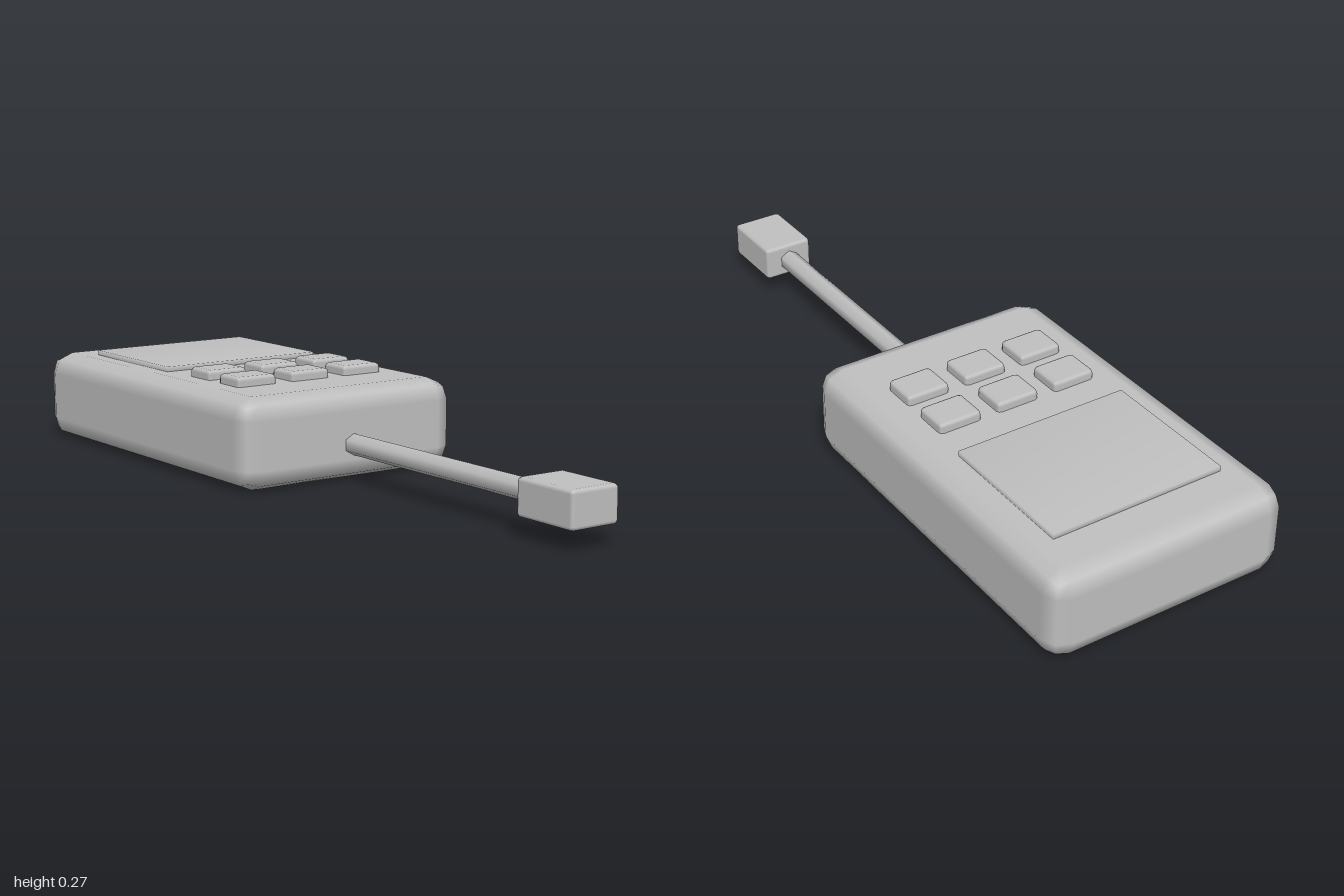
import * as THREE from 'three';
import { RoundedBoxGeometry } from 'three/addons/geometries/RoundedBoxGeometry.js';
import { mergeVertices } from 'three/addons/utils/BufferGeometryUtils.js';

const plastic = new THREE.MeshStandardMaterial({ color: 0xc0c0c0 });
plastic.name = 'grey plastic';

export function createModel() {
  const group = new THREE.Group();
  group.name = 'handheldDevice';

  const add = (name, geometry, x, y, z) => {
    const mesh = new THREE.Mesh(geometry, plastic);
    mesh.name = name;
    mesh.position.set(x, y, z);
    group.add(mesh);
    return mesh;
  };

  // Case with two-step rounded edges
  add('case', new RoundedBoxGeometry(0.68, 0.244, 1.07, 1, 0.058), 0, 0.122, -0.465);

  // Screen: a thin slab with normals blended across its corners
  const slab = new THREE.BoxGeometry(0.488, 0.03, 0.39);
  slab.deleteAttribute('normal');
  slab.deleteAttribute('uv');
  const screen = mergeVertices(slab);
  screen.computeVertexNormals();
  add('screen', screen, 0, 0.243, -0.66);

  // Two rows of three buttons
  const button = new RoundedBoxGeometry(0.122, 0.05, 0.098, 1, 0.011);
  for (const z of [-0.319, -0.174]) {
    for (const x of [-0.171, 0, 0.171]) add('button', button, x, 0.245, z);
  }

  // Six-sided cable running out of the front of the case
  const cable = new THREE.CylinderGeometry(0.029, 0.029, 0.8, 6);
  cable.rotateX(Math.PI / 2);
  add('cable', cable, 0, 0.098, 0.42);

  // Plug at the end of the cable
  add('plug', new RoundedBoxGeometry(0.144, 0.097, 0.195, 1, 0.011), 0, 0.0985, 0.9025);

  return group;
}
